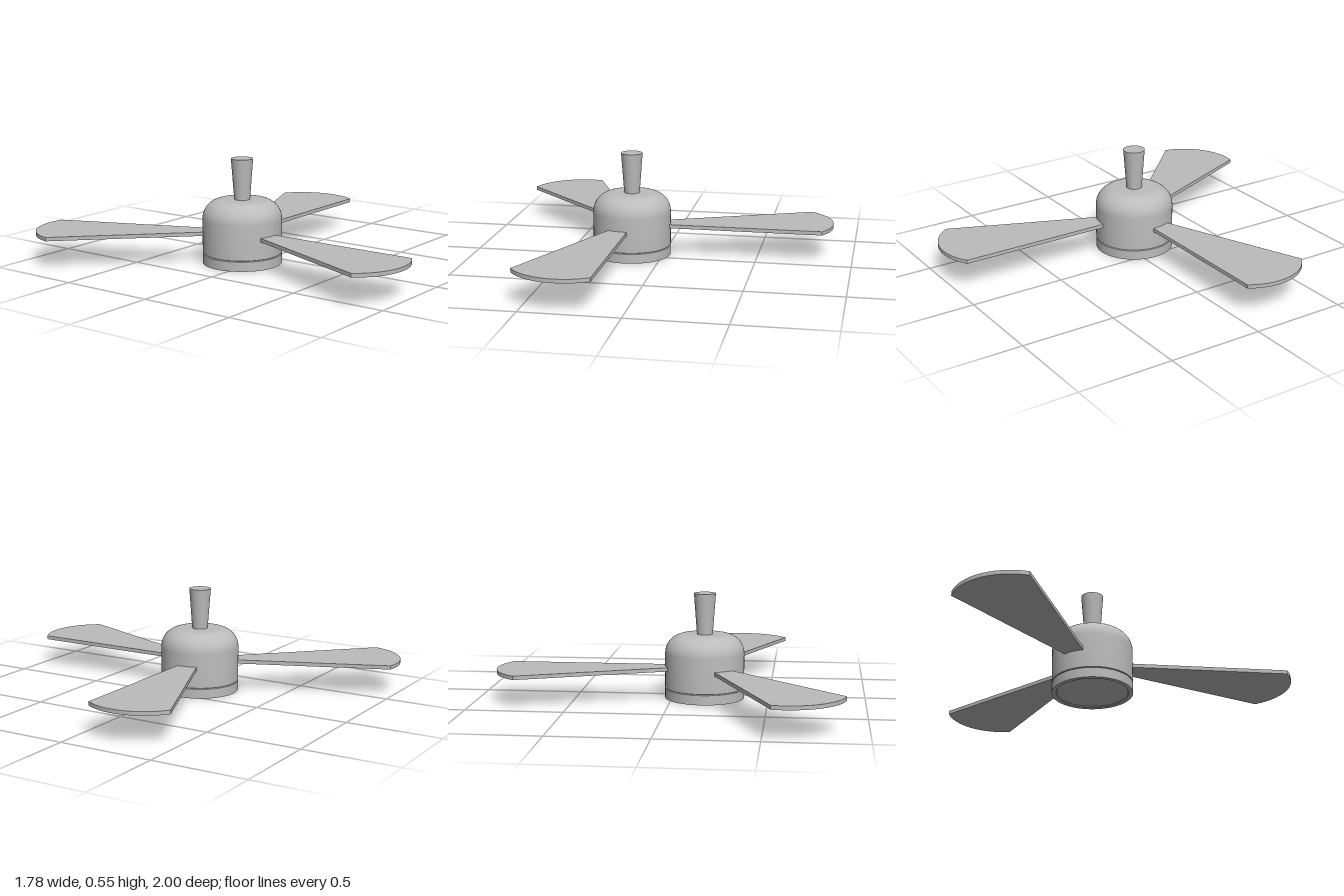
import * as THREE from 'three';
import { toCreasedNormals } from 'three/addons/utils/BufferGeometryUtils.js';

export function createModel() {
  const model = new THREE.Group();
  model.name = 'ceilingFan';
  const grey = new THREE.MeshStandardMaterial({ color: 0xbcbcbc });
  grey.name = 'plain grey';

  // Everything turns about the motor axis, which sits off the origin
  const fan = new THREE.Group();
  fan.name = 'fan';
  fan.position.set(-0.167, 0, -0.062);
  model.add(fan);

  function add(name, geometry) {
    const mesh = new THREE.Mesh(geometry, grey);
    mesh.name = name;
    fan.add(mesh);
    return mesh;
  }
  function lathe(name, profile) {
    const points = profile.map(([r, y]) => new THREE.Vector2(r, y));
    return add(name, toCreasedNormals(new THREE.LatheGeometry(points, 64), 0.5));
  }

  // Base cap with a shallow recess underneath
  lathe('baseCap', [[0, 0.006], [0.18, 0.006], [0.184, 0], [0.206, 0], [0.206, 0.05], [0.2, 0.053], [0, 0.053]]);

  // Motor housing with a rounded shoulder
  const housing = [[0, 0.053], [0.2, 0.053], [0.206, 0.056]];
  for (let i = 0; i <= 12; i++) {
    const a = (i / 12) * Math.PI / 2;
    housing.push([0.106 + 0.1 * Math.cos(a), 0.235 + 0.1 * Math.sin(a)]);
  }
  housing.push([0, 0.335]);
  lathe('motorHousing', housing);

  // Tapered mounting stem
  const stem = add('mountingStem', new THREE.CylinderGeometry(0.057, 0.041, 0.216, 48));
  stem.position.y = 0.44;

  // Flat blades, widening to a curved tip
  const tipRadius = 0.292, tipCentre = 0.783, halfTip = 0.208;
  const tipAngle = Math.atan2(halfTip, 0.988 - tipCentre);
  const outline = new THREE.Shape();
  outline.moveTo(0.15, -0.043);
  outline.lineTo(0.988, -halfTip);
  outline.absarc(tipCentre, 0, tipRadius, -tipAngle, tipAngle, false);
  outline.lineTo(0.15, 0.043);
  outline.closePath();
  const bladeGeometry = new THREE.ExtrudeGeometry(outline, { depth: 0.02, bevelEnabled: false, curveSegments: 24 });
  bladeGeometry.rotateX(-Math.PI / 2);
  const smoothBlade = toCreasedNormals(bladeGeometry, 0.4);
  [11.25, 123.75, -101.25].forEach((degrees, i) => {
    const blade = add('blade' + (i + 1), smoothBlade);
    blade.position.y = 0.149;
    blade.rotation.y = THREE.MathUtils.degToRad(degrees);
  });

  return model;
}
